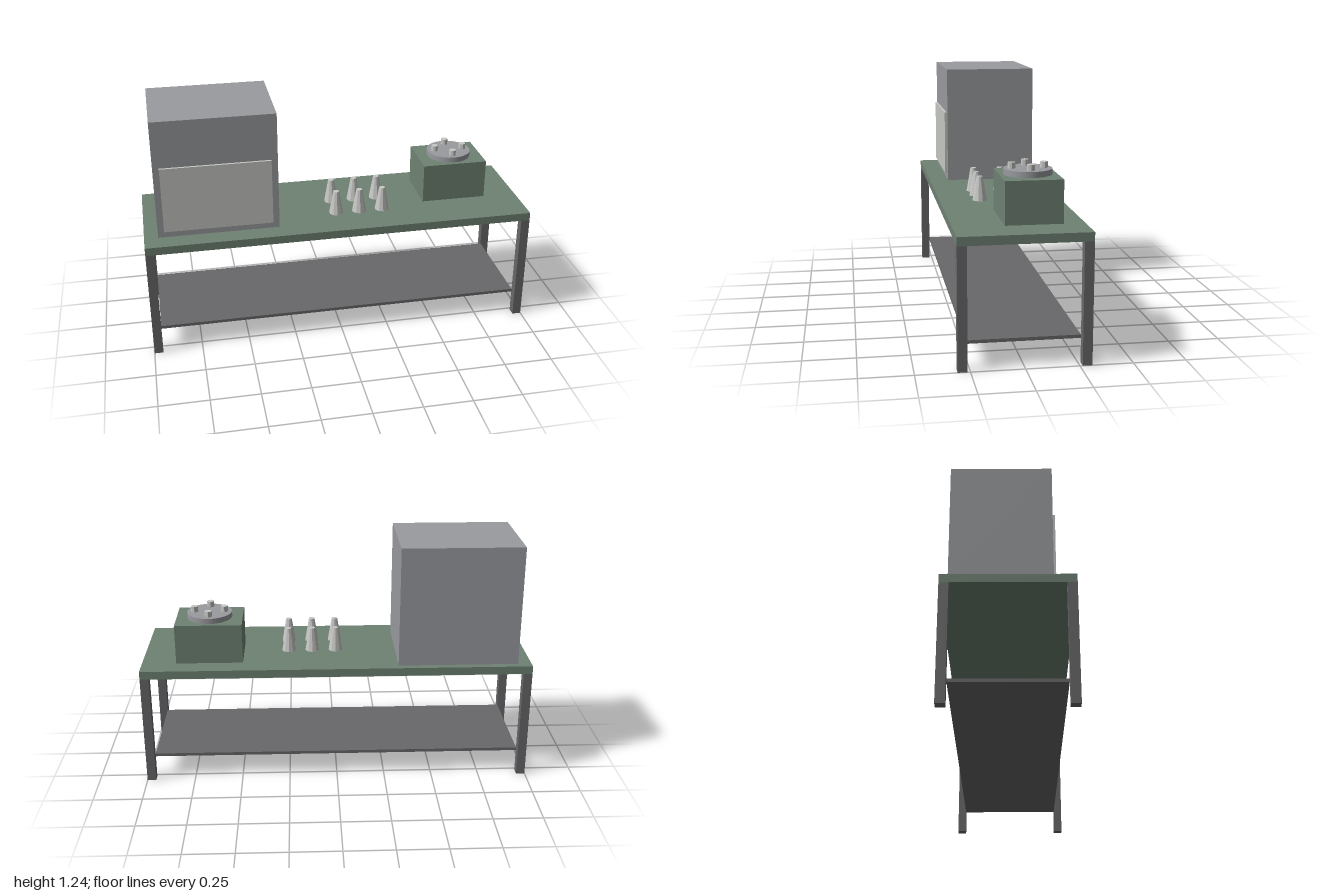
import * as THREE from 'three';

const mat = (name, color, flatShading = false) => {
  const m = new THREE.MeshStandardMaterial({ color });
  m.name = name;
  m.flatShading = flatShading;
  return m;
};

export function createModel() {
  const green = mat('benchGreen', 0x6f8273);
  const steel = mat('darkSteel', 0x68686a);
  const grey = mat('cabinetGrey', 0x9a9b9f);
  const pale = mat('palePanel', 0xc6c8c3);
  const light = mat('lightMetal', 0xc8c9c7, true);

  const model = new THREE.Group();
  model.name = 'workbench';

  const add = (name, geometry, material, x, y, z, parent = model) => {
    const mesh = new THREE.Mesh(geometry, material);
    mesh.name = name;
    mesh.position.set(x, y, z);
    parent.add(mesh);
    return mesh;
  };
  // Box given by its extents on each axis
  const box = (name, material, [x0, x1], [y0, y1], [z0, z1], parent) =>
    add(name, new THREE.BoxGeometry(x1 - x0, y1 - y0, z1 - z0), material,
      (x0 + x1) / 2, (y0 + y1) / 2, (z0 + z1) / 2, parent);

  // Table: top, legs and lower shelf
  const topY = 0.622;
  box('tableTop', green, [-1, 1], [0.58, topY], [-0.308, 0.308]);
  for (const sx of [-1, 1]) {
    for (const sz of [-1, 1]) {
      add('leg', new THREE.BoxGeometry(0.045, 0.58, 0.045), steel, sx * 0.9775, 0.29, sz * 0.2855);
    }
  }
  box('lowerShelf', steel, [-0.955, 0.955], [0.117, 0.133], [-0.263, 0.263]);

  // Large cabinet with its front panel
  const cabinet = new THREE.Group();
  cabinet.name = 'cabinet';
  model.add(cabinet);
  box('cabinetBody', grey, [-0.93, -0.315], [topY, 1.242], [-0.273, 0.207], cabinet);
  box('frontPanel', pale, [-0.898, -0.348], [0.656, 1.0], [0.207, 0.219], cabinet);

  // Two rows of tapered cups
  const cups = new THREE.Group();
  cups.name = 'cups';
  model.add(cups);
  for (const x of [0, 0.123, 0.246]) {
    for (const z of [-0.038, 0.104]) {
      add('cup', new THREE.CylinderGeometry(0.0155, 0.037, 0.124, 10), light, x, topY + 0.062, z, cups);
    }
  }

  // Small machine: body, turntable and four pegs
  const machine = new THREE.Group();
  machine.name = 'machine';
  model.add(machine);
  const cx = 0.653, cz = -0.068;
  box('machineBody', green, [0.482, 0.824], [topY, 0.828], [-0.205, 0.068], machine);
  add('turntable', new THREE.CylinderGeometry(0.116, 0.116, 0.028, 24), grey, cx, 0.842, cz, machine);
  for (let i = 0; i < 4; i++) {
    const a = i * Math.PI / 2;
    add('peg', new THREE.CylinderGeometry(0.0185, 0.0185, 0.029, 8), light,
      cx + Math.cos(a) * 0.077, 0.8705, cz + Math.sin(a) * 0.077, machine);
  }

  return model;
}
